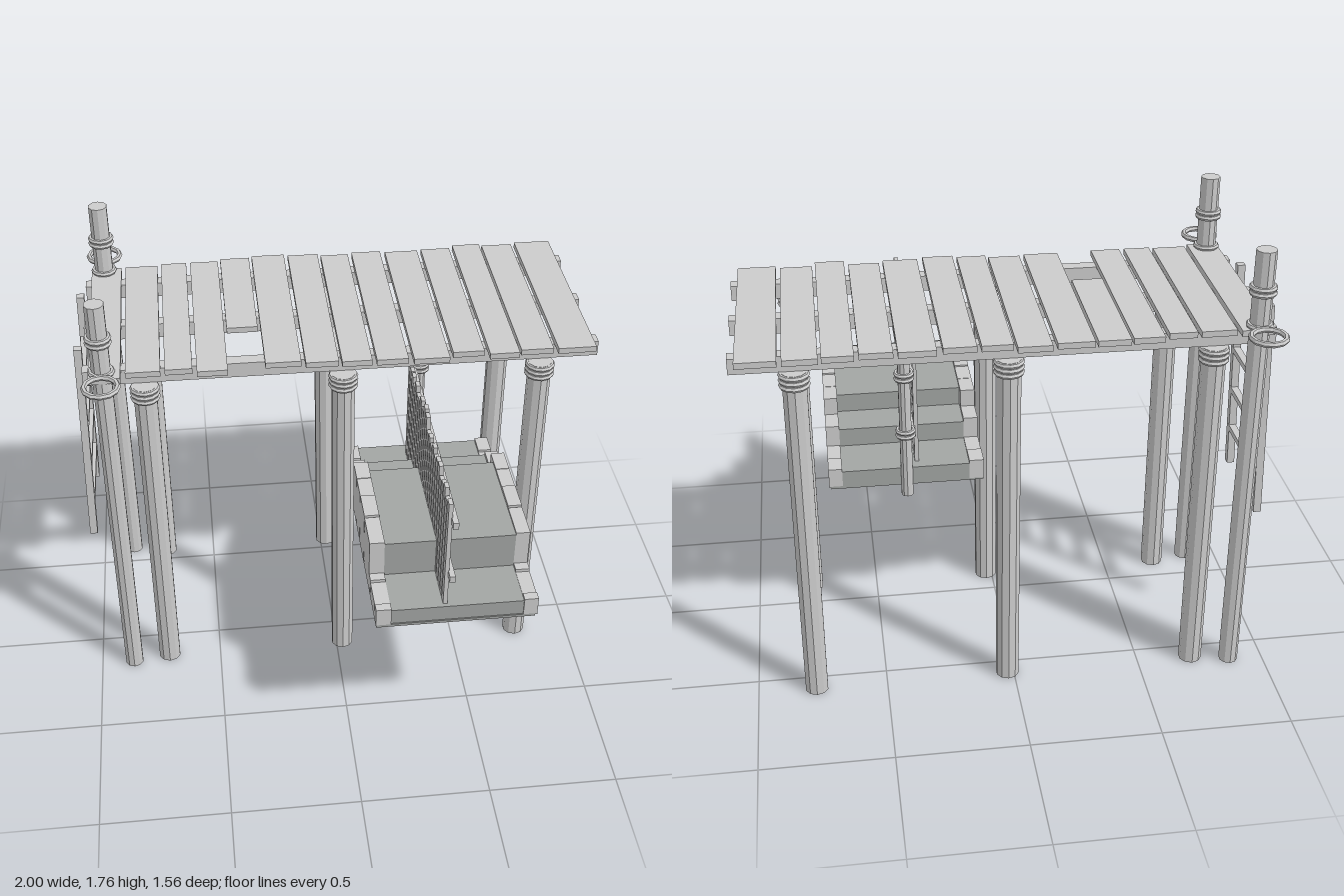
import * as THREE from 'three';

export function createModel() {
  const model = new THREE.Group();
  const wood = new THREE.MeshStandardMaterial({ color: 0xcccccc, flatShading: true });
  wood.name = 'pale wood';
  const hull = new THREE.MeshStandardMaterial({ color: 0xa2a5a3, flatShading: true });
  hull.name = 'grey platform';

  const add = (name, geo, mat, x, y, z, parent = model) => {
    const m = new THREE.Mesh(geo, mat);
    m.name = name;
    m.position.set(x, y, z);
    parent.add(m);
    return m;
  };
  // Box from its extents on each axis
  const box = (name, x0, x1, y0, y1, z0, z1, mat = wood, parent = model) =>
    add(name, new THREE.BoxGeometry(x1 - x0, y1 - y0, z1 - z0), mat,
      (x0 + x1) / 2, (y0 + y1) / 2, (z0 + z1) / 2, parent);
  const post = (name, r, y0, y1, x, z) =>
    add(name, new THREE.CylinderGeometry(r, r, y1 - y0, 10), wood, x, (y0 + y1) / 2, z);
  const ring = (name, r, tube, x, y, z) => {
    const g = new THREE.TorusGeometry(r, tube, 6, 12);
    g.rotateX(Math.PI / 2);
    return add(name, g, wood, x, y, z);
  };

  // Dock posts with rope lashings and cross beams
  for (const x of [-0.715, 0.025, 0.775]) {
    for (const z of [0.117, -0.565]) {
      post('dockPost', 0.045, 0, 1.39, x, z);
      for (const y of [1.34, 1.36, 1.38]) ring('postRope', 0.047, 0.01, x, y, z);
    }
    box('crossBeam', x - 0.025, x + 0.025, 1.33, 1.39, -0.6, 0.145);
  }

  // Tall mooring posts, each with an outer ring
  for (const [z, ringZ] of [[0.143, 0.25], [-0.595, -0.705]]) {
    post('tallPost', 0.037, 0, 1.765, -0.865, z);
    for (const y of [1.605, 1.625]) ring('tallPostRope', 0.041, 0.01, -0.865, y, z);
    ring('collar', 0.041, 0.01, -0.865, 1.48, z);
    ring('mooringRing', 0.062, 0.011, -0.865, 1.482, ringZ);
  }

  // Long beams under the deck
  for (const z of [0.075, -0.232, -0.54]) box('stringer', -0.94, 1, 1.39, 1.45, z - 0.025, z + 0.025);

  // Deck planks: left edge, right edge, back end, front end
  const planks = [
    [-0.915, -0.797, -0.62, 0.18], [-0.78, -0.652, -0.615, 0.155], [-0.636, -0.535, -0.62, 0.155],
    [-0.519, -0.406, -0.63, 0.17], [-0.396, -0.278, -0.64, -0.11], [-0.267, -0.134, -0.645, 0.15],
    [-0.118, 0.005, -0.645, 0.155], [0.016, 0.128, -0.625, 0.167], [0.144, 0.262, -0.63, 0.175],
    [0.283, 0.417, -0.63, 0.175], [0.433, 0.551, -0.63, 0.15], [0.567, 0.679, -0.645, 0.18],
    [0.69, 0.813, -0.64, 0.157], [0.829, 0.973, -0.645, 0.167],
  ];
  planks.forEach(([x0, x1, z0, z1], i) => {
    const lift = (i % 3) * 0.003;
    box('deckPlank', x0, x1, 1.447 + lift, 1.47 + lift, z0, z1);
  });

  // Leaning ladder at the end of the deck
  const ladder = new THREE.Group();
  ladder.name = 'ladder';
  for (const z of [-0.037, -0.417]) box('ladderRail', -0.015, 0.015, -0.445, 0.445, z - 0.016, z + 0.016, wood, ladder);
  for (const y of [0.255, 0.08, -0.1, -0.275]) box('ladderRung', -0.012, 0.016, y - 0.012, y + 0.012, -0.42, -0.035, wood, ladder);
  ladder.position.set(-0.97, 1.025, 0);
  ladder.rotation.z = -0.03;
  model.add(ladder);

  // Stepped hanging platform
  box('platformBase', 0.075, 0.67, 0.695, 0.706, -0.23, 0.77, hull);
  box('platformLowerStep', 0.13, 0.625, 0.706, 0.77, -0.23, 0.765, hull);
  box('platformUpperStep', 0.13, 0.625, 0.77, 0.92, 0.12, 0.567, hull);
  box('platformRearStep', 0.13, 0.625, 0.77, 0.845, -0.03, 0.12, hull);

  // Upright boards along both sides: back end, front end, top
  const boards = [
    [0.735, 0.77, 0.78], [0.61, 0.732, 0.772], [0.57, 0.607, 0.782], [0.417, 0.567, 0.928],
    [0.29, 0.412, 0.934], [0.18, 0.286, 0.93], [0.075, 0.177, 0.93], [-0.03, 0.072, 0.86],
    [-0.14, -0.033, 0.775], [-0.23, -0.143, 0.782],
  ];
  for (const [z0, z1, top] of boards) {
    box('sideBoard', 0.073, 0.13, 0.702, top, z0, z1);
    box('sideBoard', 0.625, 0.678, 0.702, top, z0, z1);
  }

  // Picket fence down the middle
  const tops = [1.24, 1.22, 1.25, 1.23, 1.215, 1.25, 1.24, 1.22, 1.24, 1.21, 1.225, 1.21,
    1.26, 1.27, 1.23, 1.25, 1.22, 1.21, 1.235, 1.2, 1.22, 1.22, 1.25];
  tops.forEach((top, i) => {
    const z = 0.732 - i * 0.041;
    box('picket', 0.324, 0.34, 0.765, top, z - 0.016, z + 0.016);
  });
  for (const y of [0.917, 1.167]) box('fenceRail', 0.336, 0.357, y - 0.014, y + 0.014, -0.225, 0.783);

  // Fence end post with lashings
  post('fencePost', 0.024, 0.65, 1.33, 0.375, -0.225);
  for (const y of [0.92, 0.94, 1.165, 1.185]) ring('fenceRope', 0.031, 0.009, 0.375, y - 0.005, -0.225);

  return model;
}
